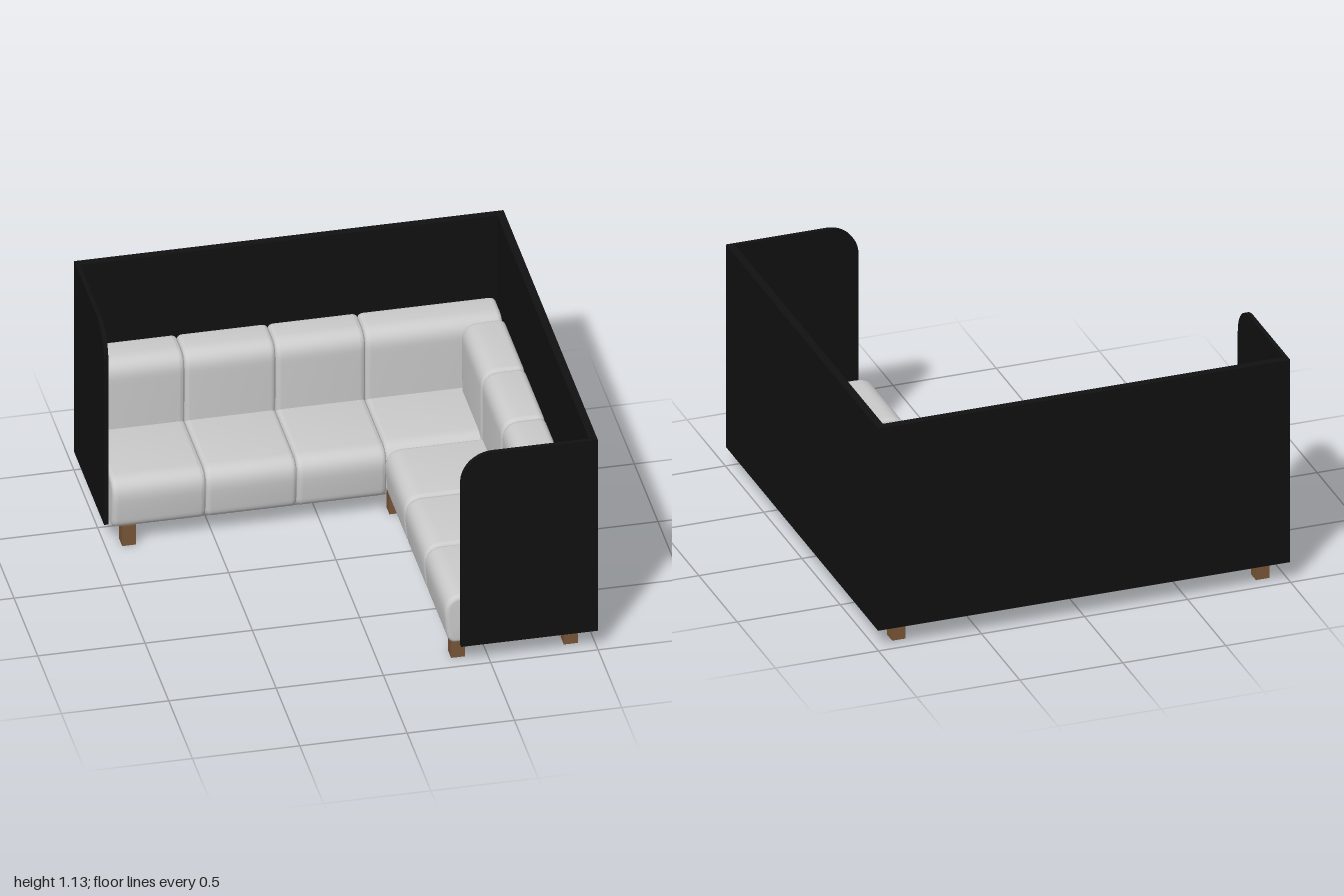
import * as THREE from 'three';
import { toCreasedNormals } from 'three/addons/utils/BufferGeometryUtils.js';

const fabric = new THREE.MeshStandardMaterial({ color: 0xcccccc });
const black = new THREE.MeshStandardMaterial({ color: 0x111111 });
const wood = new THREE.MeshStandardMaterial({ color: 0x7a5638 });

const BASE = 0.1, TOP = 1.13, EDGE = 0.995;

// Soft pad: side profile (depth along x, front at +x) extruded across its width
function padGeometry(width, depth, y0, y1, frontR, backR, underR) {
  const s = new THREE.Shape();
  s.moveTo(0, y0);
  s.lineTo(depth - underR, y0);
  s.quadraticCurveTo(depth - underR * 0.3, y0, depth - underR * 0.2, y0 + underR);
  s.quadraticCurveTo(depth, (y0 + y1) / 2, depth, y1 - frontR);
  s.quadraticCurveTo(depth, y1, depth - frontR, y1);
  s.lineTo(backR, y1);
  s.quadraticCurveTo(0, y1, 0, y1 - backR);
  s.closePath();
  const b = 0.026;
  const g = new THREE.ExtrudeGeometry(s, {
    depth: width - 2 * b, bevelThickness: b, bevelSize: b * 0.8,
    bevelOffset: -b * 0.8, bevelSegments: 5, curveSegments: 10,
  });
  g.translate(0, 0, -(width - 2 * b) / 2);
  return toCreasedNormals(g, 0.7);
}

// Upright screen with its free top corner rounded; free end at +x of the shape
function wingGeometry(length, thickness, r) {
  const h = TOP - BASE;
  const s = new THREE.Shape();
  s.moveTo(0, 0);
  s.lineTo(length, 0);
  s.lineTo(length, h - r);
  s.absarc(length - r, h - r, r, 0, Math.PI / 2, false);
  s.lineTo(0, h);
  s.closePath();
  const g = new THREE.ExtrudeGeometry(s, { depth: thickness, bevelEnabled: false, curveSegments: 12 });
  return toCreasedNormals(g, 0.5);
}

export function createModel() {
  const model = new THREE.Group();
  const add = (name, geometry, material, x, y, z, turn = 0) => {
    const mesh = new THREE.Mesh(geometry, material);
    mesh.name = name;
    mesh.position.set(x, y, z);
    mesh.rotation.y = turn;
    model.add(mesh);
  };

  // Tall screens behind both rows
  const h = TOP - BASE, midY = (TOP + BASE) / 2, t = 0.037;
  add('backScreen', new THREE.BoxGeometry(2, h, t), black, 0, midY, -EDGE + t / 2);
  add('sideScreen', new THREE.BoxGeometry(t, h, 2 * EDGE), black, 1 - t / 2, midY, 0);

  // Short end wings with a rounded top corner
  const wing = wingGeometry(0.632, 0.02, 0.15);
  add('rightWing', wing, black, -0.98, BASE, -EDGE, -Math.PI / 2);
  add('frontWing', wing, black, EDGE, BASE, EDGE, Math.PI);

  // Cushions: each entry is [start, end] along its row
  const seat = (w, d) => padGeometry(w, d, BASE, 0.355, 0.09, 0.02, 0.05);
  const backrest = (w) => padGeometry(w, 0.205, 0.28, 0.706, 0.09, 0.04, 0.01);

  // Row along the back, facing +z
  const backRow = [[-0.972, -0.536], [-0.536, -0.112], [-0.112, 0.306], [0.306, 0.948]];
  backRow.forEach(([a, b], i) => {
    const corner = i === 3, x = (a + b) / 2;
    add(corner ? 'cornerSeat' : 'backRowSeat', seat(b - a, corner ? 0.635 : 0.657), fabric, x, 0, -0.958, -Math.PI / 2);
    add('backRowBackrest', backrest(b - a), fabric, x, 0, -0.958, -Math.PI / 2);
  });

  // Row along the side, facing -x; the first section belongs to the corner
  const sideRow = [[-0.755, -0.325], [-0.325, 0.1], [0.1, 0.52], [0.52, 0.962]];
  sideRow.forEach(([a, b], i) => {
    const z = (a + b) / 2;
    if (i > 0) add('sideRowSeat', seat(b - a, 0.657), fabric, 0.954, 0, z, Math.PI);
    add('sideRowBackrest', backrest(b - a), fabric, 0.954, 0, z, Math.PI);
  });

  // Square wooden legs
  const leg = new THREE.BoxGeometry(0.065, BASE + 0.005, 0.065);
  const legSpots = [[-0.892, -0.892], [-0.892, -0.356], [0.353, -0.356],
    [0.873, -0.892], [0.365, 0.89], [0.89, 0.89]];
  for (const [x, z] of legSpots) add('leg', leg, wood, x, (BASE + 0.005) / 2, z);

  return model;
}
